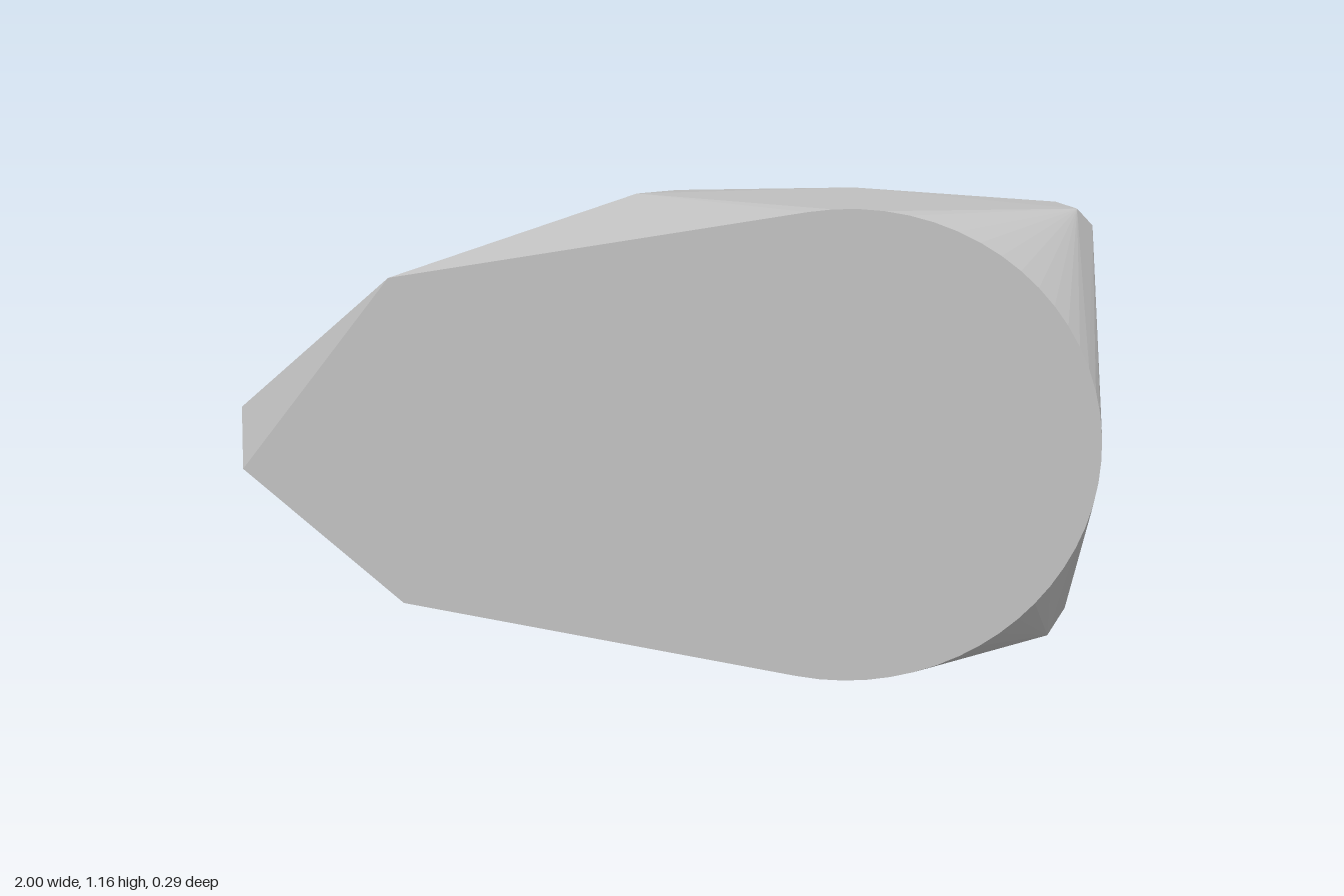
import * as THREE from 'three';
import { ConvexGeometry } from 'three/addons/geometries/ConvexGeometry.js';

const MID = 0.583; // height of the long axis
const FRONT = 0.143; // depth of the flat front face

export function createModel() {
  const group = new THREE.Group();
  group.name = 'facetedStone';
  const stoneGrey = new THREE.MeshStandardMaterial({ color: 0xc0c0c0 });
  stoneGrey.name = 'stoneGrey';

  const points = [];
  const add = (x, y, z) => points.push(new THREE.Vector3(x, y, z));
  // adds a point above the long axis and its mirror below
  const pair = (x, half, z) => { add(x, MID + half, z); add(x, MID - half, z); };

  // flat front face: round end and tapering shoulders
  const steps = 36;
  for (let i = 0; i <= steps; i++) {
    const a = THREE.MathUtils.degToRad(-100 + (200 * i) / steps);
    add(0.415 + 0.583 * Math.cos(a), MID + 0.581 * Math.sin(a), FRONT);
  }
  pair(-0.63, 0.405, FRONT);

  // pointed end
  add(-1, 0.51, 0.13);
  add(-1, 0.655, 0.1);
  add(-1, 0.545, 0.05);

  // tapering back shoulders
  pair(-0.63, 0.347, -0.068);
  pair(-0.61, 0.278, -0.1);

  // back ridge and upper and lower edges
  pair(-0.09, 0.508, -0.143);
  add(-0.08, 1.14, -0.065);
  add(0.01, 1.135, -0.125);
  add(0.42, 1.158, -0.08);
  add(-0.08, 0.032, -0.13);
  add(0.42, 0.008, -0.04);
  add(0.8, 0.027, -0.13);

  // squared back corners at the round end
  pair(0.93, 0.54, -0.05);
  pair(0.975, 0.488, -0.1);
  add(0.89, 1.12, -0.125);
  pair(0.87, 0.38, -0.133);
  pair(0.982, 0.36, -0.113);

  const stone = new THREE.Mesh(new ConvexGeometry(points), stoneGrey);
  stone.name = 'stone';
  group.add(stone);
  return group;
}
